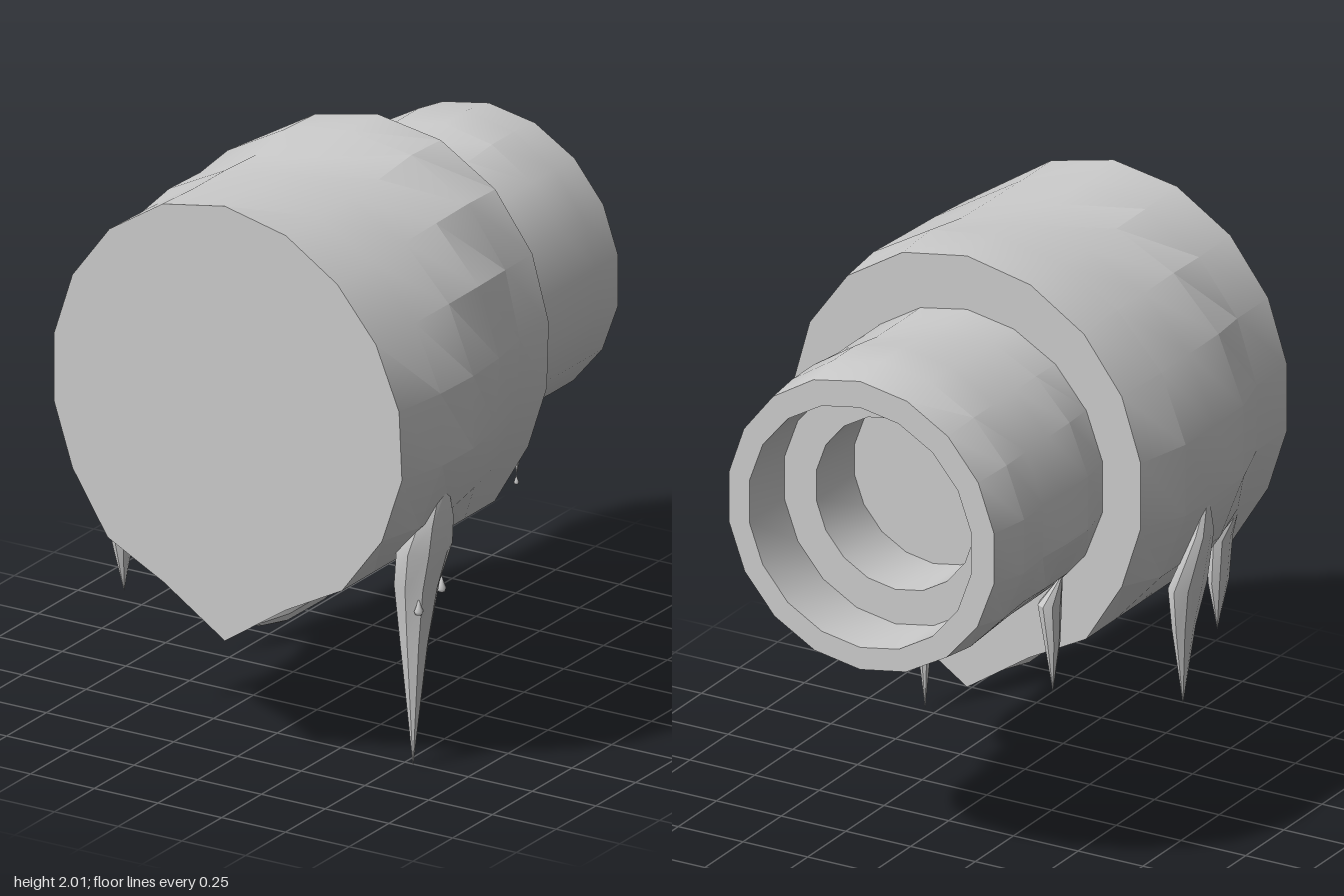
import * as THREE from 'three';
import { toCreasedNormals } from 'three/addons/utils/BufferGeometryUtils.js';

const SIDES = 18, CY = 1.28;
const material = new THREE.MeshStandardMaterial({ color: 0xcccccc });

// Skin a list of equal-length rings of [x, y, z] points
function loft(name, rings, crease = 0.4) {
  const n = rings[0].length, index = [];
  for (let i = 0; i < rings.length - 1; i++) {
    for (let j = 0; j < n; j++) {
      const a = i * n + j, b = i * n + (j + 1) % n, c = a + n, d = b + n;
      index.push(a, b, d, a, d, c);
    }
  }
  const g = new THREE.BufferGeometry();
  g.setAttribute('position', new THREE.Float32BufferAttribute(rings.flat(2), 3));
  g.setIndex(index);
  const mesh = new THREE.Mesh(toCreasedNormals(g, crease), material);
  mesh.name = name;
  return mesh;
}

// Ring facing along z; fn gives [x, y] for an angle measured from the top
const zRing = (z, fn, n = SIDES) => Array.from({ length: n }, (_, j) => {
  const [x, y] = fn(j / n * Math.PI * 2, j);
  return [x, y, z];
});
const circle = (r, cy = CY) => (t) => [Math.sin(t) * r, cy + Math.cos(t) * r];

// Radius that swells towards each direction by its own amount
function bumpy(top, right, left, upperRight = 0, bottom = top) {
  return (t) => {
    const s = Math.sin(t), c = Math.cos(t);
    const r = Math.hypot(s * (s > 0 ? right : left), c * (c > 0 ? top : bottom))
      + upperRight * Math.max(0, Math.cos(t - 0.85)) ** 4;
    return [s * r, CY + c * r];
  };
}

// Big drum: worn sides, flat keel-shaped underside
function mainBody() {
  const stations = [ // z, top, right, left, upper-right swell
    [0.83, 0.72, 0.71, 0.68, -0.03],
    [0.63, 0.71, 0.745, 0.68, -0.02],
    [0.44, 0.70, 0.745, 0.745, 0],
    [0.25, 0.69, 0.71, 0.745, 0.03],
    [0.06, 0.72, 0.665, 0.745, 0.04],
    [-0.13, 0.72, 0.67, 0.68, 0.02],
  ];
  const rings = stations.map(([z, top, right, left, swell]) => {
    const f = bumpy(top, right, left, swell, 0.72);
    return zRing(z, (t, j) => {
      const k = Math.abs(j - 9);
      if (k > 2) return f(t);
      return [Math.sign(9 - j) * [0, 0.24, 0.46][k], [0.44, 0.6, 0.715][k]];
    });
  });
  return loft('mainBody', [zRing(0.83, circle(0)), ...rings, zRing(-0.13, circle(0.42))]);
}

// Narrow rear tube with a stepped bore
function rearTube() {
  const outer = [
    [-0.12, 0.53, 0.515, 0.53, 0.51],
    [-0.27, 0.53, 0.515, 0.56, 0.49],
    [-0.41, 0.53, 0.515, 0.56, 0.49],
    [-0.55, 0.55, 0.515, 0.55, 0.51],
    [-0.69, 0.55, 0.515, 0.56, 0.515],
    [-0.83, 0.53, 0.515, 0.525, 0.515],
  ].map(([z, t, r, l, b]) => zRing(z, bumpy(t, r, l, 0, b)));
  const bore = [[-0.83, 0.435], [-0.6, 0.435], [-0.6, 0.31], [-0.35, 0.31], [-0.35, 0]]
    .map(([z, r]) => zRing(z, circle(r)));
  return loft('rearTube', [...outer, ...bore]);
}

// Hanging spike: rows of [y, x, half width in x, half width in z], top to tip
function icicle(name, z, rows, n = 8) {
  return loft(name, rows.map(([y, x, rx, rz]) => Array.from({ length: n }, (_, j) => {
    const t = j / n * Math.PI * 2;
    return [x + Math.sin(t) * rx, y, z - Math.cos(t) * rz];
  })), 0.6);
}

// Small tear-shaped bead
function droplet(x, y, z, r) {
  const profile = [[0, -1], [0.75, -0.7], [1, 0], [0.6, 1], [0, 3]]
    .map(([a, b]) => new THREE.Vector2(a * r, b * r));
  const mesh = new THREE.Mesh(new THREE.LatheGeometry(profile, 8), material);
  mesh.position.set(x, y, z);
  mesh.name = 'droplet';
  return mesh;
}

export function createModel() {
  const group = new THREE.Group();
  group.name = 'icyStub';
  group.add(mainBody(), rearTube());

  // Long icicle on the left side
  group.add(icicle('longIcicle', 0.52, [
    [1.07, 0.65, 0, 0], [1.02, 0.645, 0.03, 0.04], [0.9, 0.62, 0.06, 0.095],
    [0.8, 0.59, 0.09, 0.105], [0.66, 0.56, 0.08, 0.075], [0.45, 0.55, 0.052, 0.045],
    [0, 0.545, 0, 0],
  ]));
  // Icicles on the right side
  group.add(icicle('sideIcicle', 0.23, [
    [1.18, -0.72, 0, 0], [1.02, -0.7, 0.03, 0.05], [0.82, -0.64, 0.055, 0.09],
    [0.66, -0.625, 0.036, 0.05], [0.38, -0.622, 0, 0],
  ]));
  group.add(icicle('smallIcicle', 0.67, [
    [0.92, -0.58, 0, 0], [0.8, -0.51, 0.035, 0.05], [0.64, -0.5, 0.032, 0.045],
    [0.46, -0.495, 0, 0],
  ]));
  // Icicles on the rear tube
  group.add(icicle('rearRightIcicle', -0.3, [
    [1.02, -0.47, 0, 0], [0.9, -0.42, 0.04, 0.045], [0.76, -0.43, 0.026, 0.03],
    [0.58, -0.432, 0, 0],
  ]));
  group.add(icicle('rearLeftIcicle', -0.365, [
    [1.1, 0.49, 0, 0], [1.06, 0.475, 0.02, 0.02], [0.93, 0.42, 0.04, 0.035],
    [0.84, 0.4, 0.025, 0.02], [0.72, 0.4, 0, 0],
  ]));

  // Ice ridge under the keel
  group.add(loft('keelIce', [
    [0.65, 0.45, 0, 0], [0.62, 0.44, 0.02, 0.018], [0.47, 0.425, 0.032, 0.037],
    [0.24, 0.425, 0.032, 0.04], [0.05, 0.445, 0.02, 0.018], [0.04, 0.45, 0, 0],
  ].map(([z, y, rx, ry]) => zRing(z, (t) => [Math.sin(t) * rx, y + Math.cos(t) * ry], 8)), 0.6));

  // Beads of water
  for (const d of [[0.6, 0.585, 0.572, 0.016], [0.6, 0.62, 0.428, 0.016],
    [-0.605, 0.85, 0.31, 0.016], [0.57, 0.82, -0.09, 0.009]]) group.add(droplet(...d));
  return group;
}
